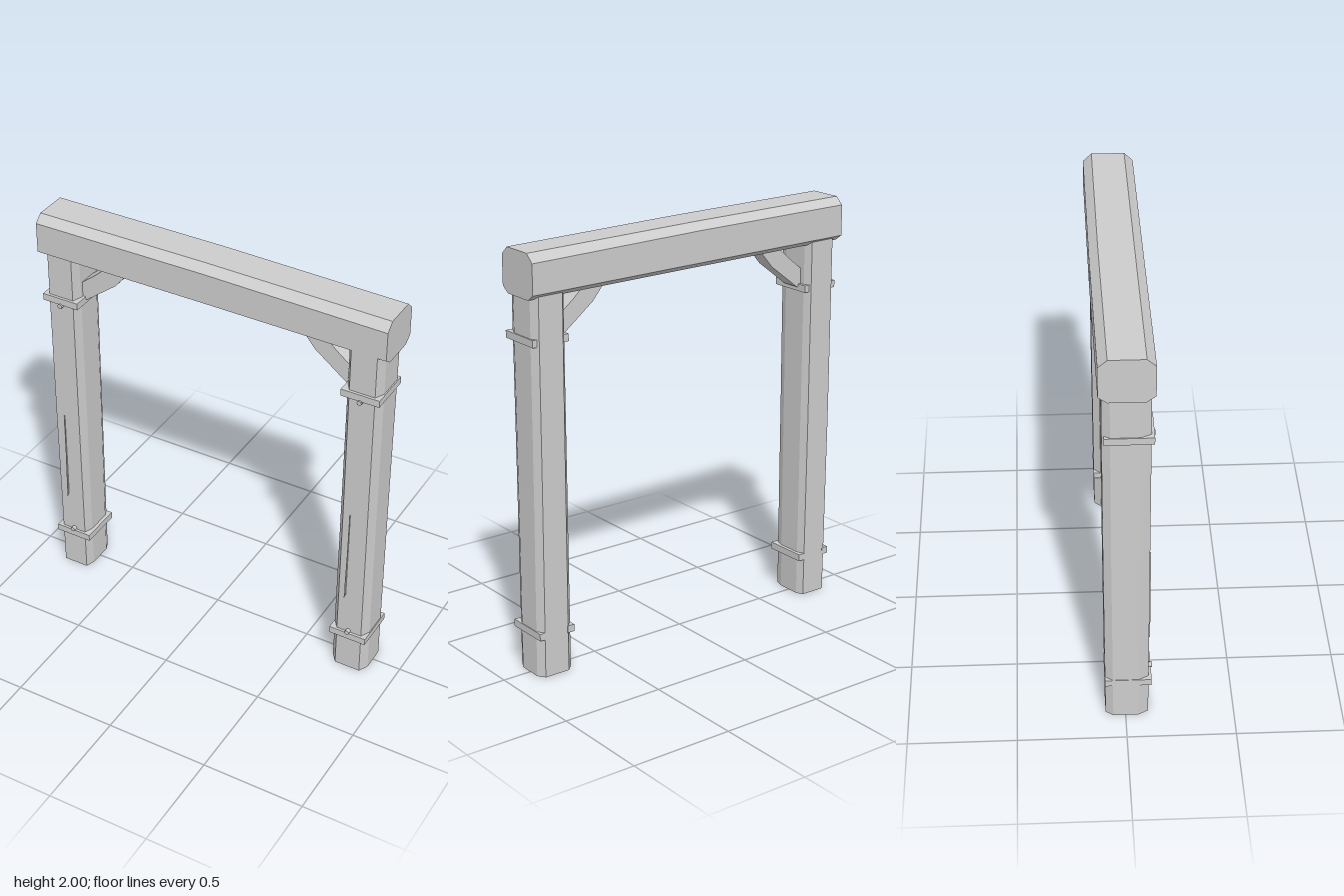
import * as THREE from 'three';

const grey = new THREE.MeshStandardMaterial({ color: 0xcccccc });
grey.name = 'plainGrey';

// Skin between convex rings (counter-clockwise about the sweep direction), with flat facets and end caps
function loft(rings) {
  const pos = [];
  const tri = (a, b, c) => pos.push(...a, ...b, ...c);
  const n = rings[0].length;
  for (let r = 0; r < rings.length - 1; r++) {
    for (let i = 0; i < n; i++) {
      const j = (i + 1) % n;
      const a = rings[r][i], b = rings[r][j], c = rings[r + 1][j], d = rings[r + 1][i];
      tri(a, b, c);
      tri(a, c, d);
    }
  }
  const first = rings[0], last = rings[rings.length - 1];
  for (let i = 1; i < n - 1; i++) {
    tri(first[0], first[i + 1], first[i]);
    tri(last[0], last[i], last[i + 1]);
  }
  const g = new THREE.BufferGeometry();
  g.setAttribute('position', new THREE.Float32BufferAttribute(pos, 3));
  g.computeVertexNormals();
  return g;
}

function add(parent, name, geometry, x = 0, y = 0, z = 0) {
  const m = new THREE.Mesh(geometry, grey);
  m.name = name;
  m.position.set(x, y, z);
  parent.add(m);
  return m;
}

// Beam cross-section with chamfered corners
function beamRing(x, top, bottom, back, front, chamferTop) {
  const c = 0.04, low = 0.028;
  return [
    [x, top, back + c], [x, top, front - c],
    [x, top - chamferTop, front], [x, bottom + low, front],
    [x, bottom, front - c], [x, bottom, back + c],
    [x, bottom + low, back], [x, top - chamferTop, back],
  ];
}

// Post cross-section: long shallow chamfers in front, short ones behind
function postRing(y, x0, x1, inL, inR, back, front) {
  const cf = 0.045, cb = 0.035;
  return [
    [x0 + inL, y, front], [x1 - inR, y, front],
    [x1, y, front - cf], [x1, y, back + cb],
    [x1 - inR, y, back], [x0 + inL, y, back],
    [x0, y, back + cb], [x0, y, front - cf],
  ];
}

// U-shaped strap, open at the back, with a nail in front
function strap(side, y, nailY) {
  const g = new THREE.Group();
  g.name = 'strap';
  const cx = side * 0.768, w = 0.186, h = 0.034;
  add(g, 'strapFront', new THREE.BoxGeometry(w, h, 0.04), cx, y, 0.098);
  for (const s of [-1, 1]) {
    add(g, 'strapSide', new THREE.BoxGeometry(0.036, h, 0.173), cx + s * (w / 2 - 0.018), y, -0.0085);
  }
  const nail = add(g, 'nail', new THREE.CylinderGeometry(0.012, 0.012, 0.02, 8), cx, nailY, 0.115);
  nail.rotation.x = Math.PI / 2;
  return g;
}

// Diagonal brace with a slight bend
function brace(side) {
  const pts = [[0.71, 1.565], [0.665, 1.585], [0.51, 1.705], [0.43, 1.80], [0.535, 1.805], [0.61, 1.735], [0.71, 1.655]];
  const shape = new THREE.Shape(pts.map(([x, y]) => new THREE.Vector2(side * x, y)));
  return new THREE.ExtrudeGeometry(shape, { depth: 0.09, bevelEnabled: false });
}

// Thin split in the timber
function split(side) {
  const x = side > 0 ? 0.745 : -0.79;
  const shape = new THREE.Shape([
    new THREE.Vector2(x - 0.007, 0.425), new THREE.Vector2(x, 0.445),
    new THREE.Vector2(x + 0.002, 0.92), new THREE.Vector2(x - 0.002, 0.68),
  ]);
  return new THREE.ExtrudeGeometry(shape, { depth: 0.008, bevelEnabled: false });
}

export function createModel() {
  const model = new THREE.Group();
  model.name = 'timberGateway';

  // Slightly drooping top beam
  add(model, 'beam', loft([
    beamRing(-0.875, 2.0, 1.79, -0.12, 0.12, 0.035),
    beamRing(-0.02, 1.995, 1.784, -0.127, 0.113, 0.035),
    beamRing(0.875, 1.98, 1.774, -0.127, 0.108, 0.038),
  ]));

  // Posts, each a little uneven
  add(model, 'leftPost', loft([
    postRing(0, 0.673, 0.858, 0.034, 0.024, -0.092, 0.105),
    postRing(0.9, 0.678, 0.855, 0.032, 0.022, -0.1, 0.105),
    postRing(1.82, 0.682, 0.855, 0.028, 0.022, -0.105, 0.105),
  ]));
  add(model, 'rightPost', loft([
    postRing(0, -0.858, -0.693, 0.024, 0.015, -0.092, 0.105),
    postRing(0.9, -0.86, -0.69, 0.024, 0.018, -0.1, 0.105),
    postRing(1.81, -0.855, -0.69, 0.022, 0.016, -0.105, 0.105),
  ]));

  for (const side of [1, -1]) {
    const label = side > 0 ? 'left' : 'right';
    add(model, label + 'Brace', brace(side), 0, 0, -0.045);
    add(model, label + 'Split', split(side), 0, 0, 0.104);
    model.add(strap(side, 1.58, 1.557), strap(side, 0.205, 0.229));
  }
  return model;
}
